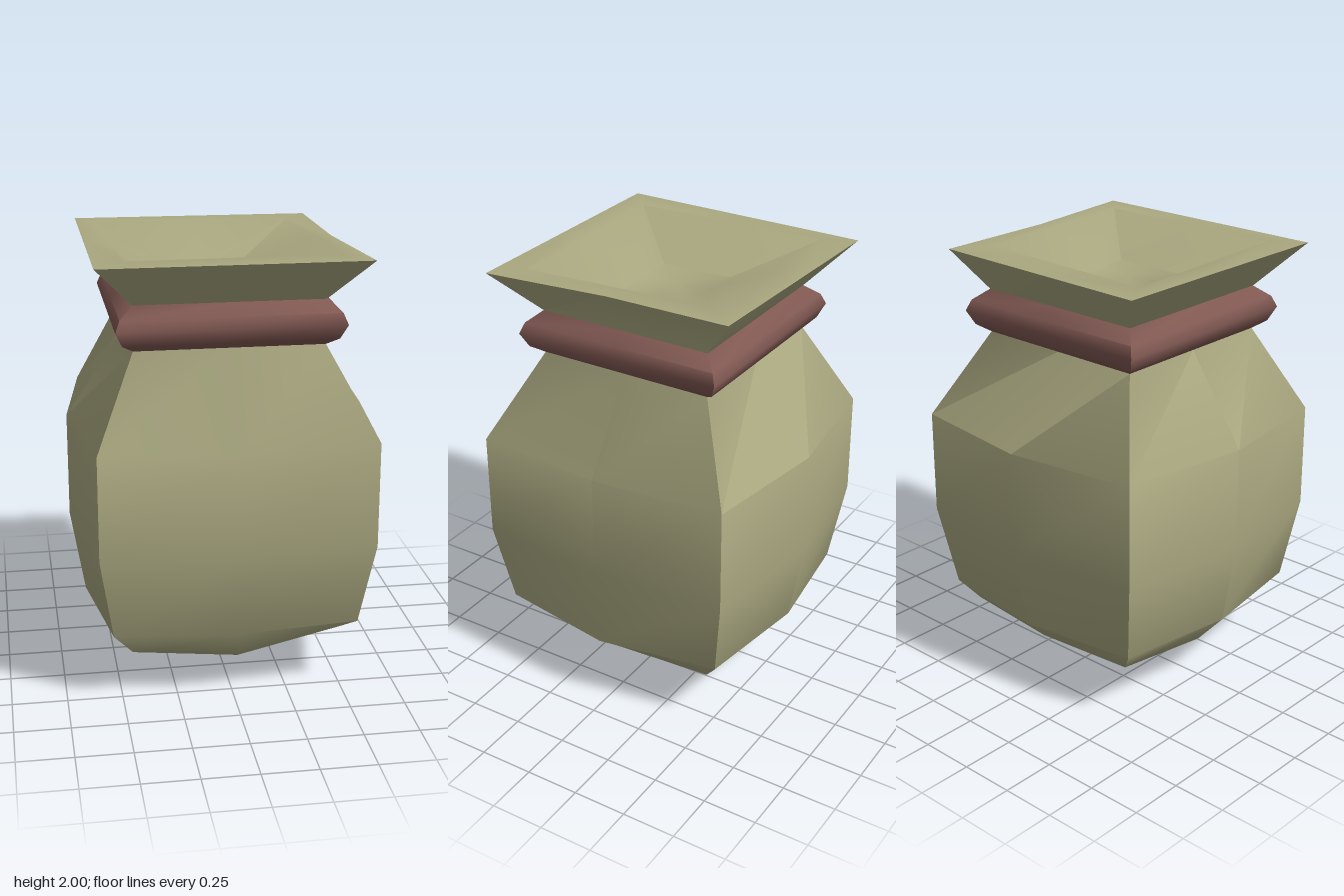
import * as THREE from 'three';
import { toCreasedNormals } from 'three/addons/utils/BufferGeometryUtils.js';

// A ring of eight points: front, front-left corner, and so on round the square.
// corner and mid hold extents as [-x, +x, -z, +z]; y is one height or eight.
function ring(y, corner, mid = corner) {
  const [a, b, c, d] = corner;
  const cx = (a + b) / 2, cz = (c + d) / 2;
  return [
    [cx, mid[3]], [b, d], [mid[1], cz], [b, c],
    [cx, mid[2]], [a, c], [mid[0], cz], [a, d],
  ].map(([x, z], i) => [x, Array.isArray(y) ? y[i] : y, z]);
}

// A ring from four uneven corners: +x+z, +x-z, -x-z, -x+z.
function cornerRing(y, corners) {
  const points = [];
  corners.forEach(([x, z], i) => {
    const [px, pz] = corners[(i + 3) % 4];
    points.push([(x + px) / 2, y, (z + pz) / 2], [x, y, z]);
  });
  return points;
}

const pointRing = (x, y, z) => Array.from({ length: 8 }, () => [x, y, z]);

// Joins neighbouring rings with quads, dropping empty triangles.
function skin(rings, crease) {
  const positions = [];
  const same = (p, q) => p.every((v, i) => v === q[i]);
  const triangle = (p, q, r) => {
    if (!same(p, q) && !same(q, r) && !same(r, p)) positions.push(...p, ...q, ...r);
  };
  for (let i = 0; i < rings.length - 1; i++) {
    for (let j = 0; j < 8; j++) {
      const k = (j + 1) % 8;
      const [a, b, c, d] = [rings[i][j], rings[i][k], rings[i + 1][k], rings[i + 1][j]];
      triangle(a, b, c);
      triangle(a, c, d);
    }
  }
  const geometry = new THREE.BufferGeometry();
  geometry.setAttribute('position', new THREE.Float32BufferAttribute(positions, 3));
  return toCreasedNormals(geometry, crease);
}

function addMesh(group, name, geometry, color) {
  const mesh = new THREE.Mesh(geometry, new THREE.MeshStandardMaterial({ color }));
  mesh.name = name;
  group.add(mesh);
}

export function createModel() {
  const group = new THREE.Group();
  group.name = 'tiedSack';

  const neck = [-0.42, 0.42, -0.4, 0.43];
  const corner = [-0.6, 0.63, -0.6, 0.63];
  const bulge = [-0.69, 0.685, -0.685, 0.685];

  // Sack: sagging underside, bulging body, tied neck, flared mouth and hollow
  const lip = cornerRing(1.995, [[0.59, 0.6], [0.515, -0.55], [-0.59, -0.58], [-0.59, 0.6]]);
  lip[2][0] = 0.525;
  addMesh(group, 'sack', skin([
    pointRing(-0.01, 0, 0.01),
    ring([0.175, 0.28, 0.22, 0.23, 0.22, 0.22, 0.175, 0.22],
      [-0.45, 0.5, -0.46, 0.5], [-0.48, 0.52, -0.5, 0.51]),
    ring(0.335, [-0.54, 0.565, -0.54, 0.57], [-0.625, 0.66, -0.615, 0.625]),
    ring(0.72, corner, bulge),
    ring(1.2, corner, bulge),
    ring(1.6, neck),
    ring(1.8, neck),
    lip,
    cornerRing(2, [[0.47, 0.475], [0.4, -0.395], [-0.505, -0.44], [-0.455, 0.48]]),
    cornerRing(1.86, [[0.16, 0.185], [0.14, -0.13], [-0.2, -0.145], [-0.18, 0.19]]),
    pointRing(-0.02, 1.86, 0.025),
  ], 0.6), 0xaaa880);

  // Square rope band round the neck
  const band = [[1.6, 0], [1.635, 0.05], [1.7, 0.08], [1.75, 0.06], [1.8, 0]];
  addMesh(group, 'neckRope', skin(
    band.map(([y, out]) => ring(y, neck.map((v) => v + Math.sign(v) * out))), 0.95), 0x805852);

  return group;
}
